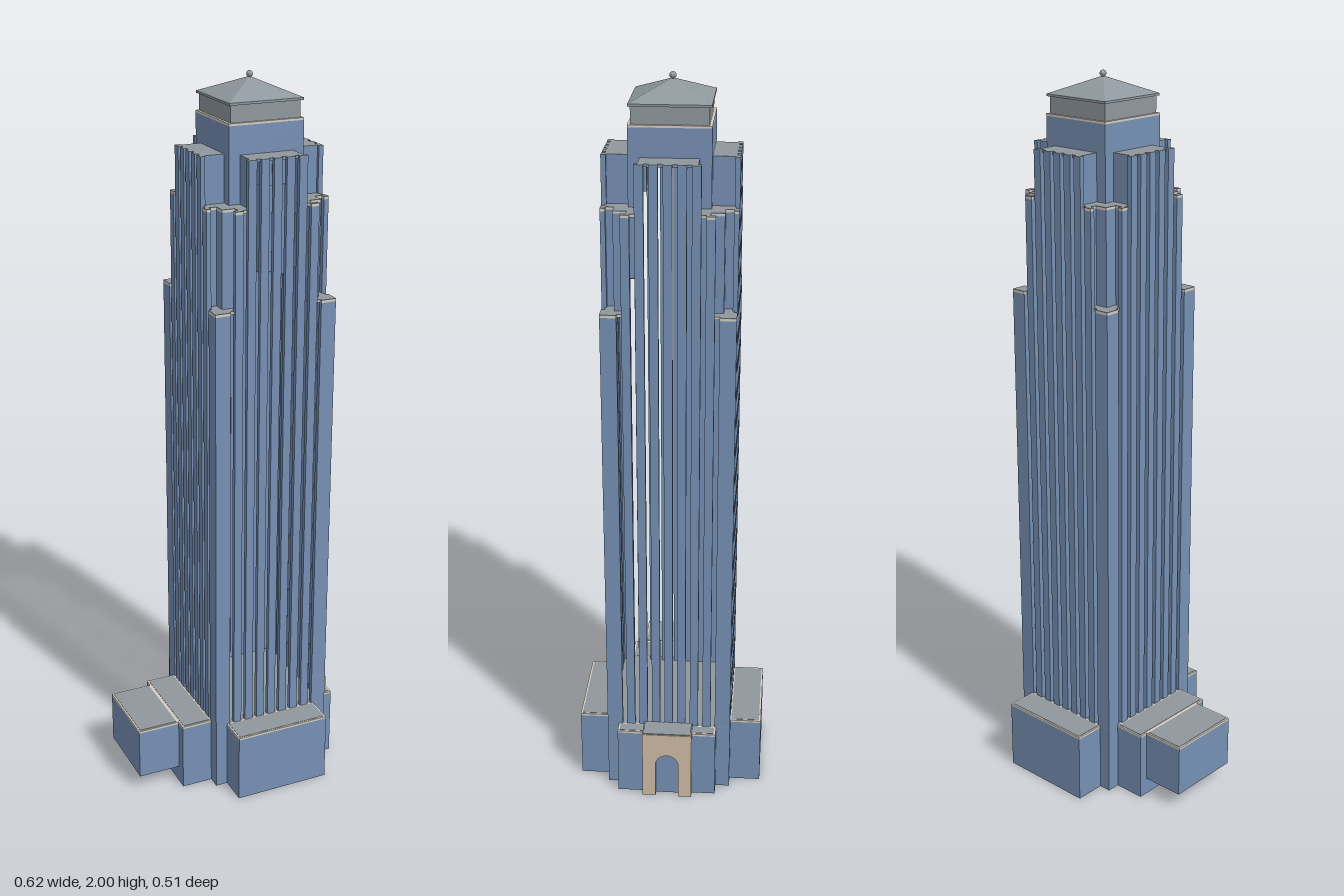
import * as THREE from 'three';

export function createModel() {
  const mat = (name, color) => {
    const m = new THREE.MeshStandardMaterial({ color });
    m.name = name;
    return m;
  };
  const blue = mat('blueWall', 0x7690b4);
  const grey = mat('greyRoof', 0x8f989e);
  const cream = mat('creamTrim', 0xd6cdc0);
  const tan = mat('tanStone', 0xcfbba6);

  const model = new THREE.Group();
  model.name = 'tower';

  // Box given by its minimum and maximum on each axis
  function box(parent, name, m, x0, x1, y0, y1, z0, z1) {
    const mesh = new THREE.Mesh(new THREE.BoxGeometry(x1 - x0, y1 - y0, z1 - z0), m);
    mesh.position.set((x0 + x1) / 2, (y0 + y1) / 2, (z0 + z1) / 2);
    mesh.name = name;
    parent.add(mesh);
    return mesh;
  }

  // Low wing: blue walls, cream parapet, grey inset roof
  function wing(name, x0, x1, y0, y1, z0, z1) {
    const g = new THREE.Group();
    g.name = name;
    const r = 0.005;
    box(g, 'walls', blue, x0, x1, y0, y1 - 0.006, z0, z1);
    box(g, 'parapet', cream, x0, x1, y1 - 0.006, y1, z0, z1);
    box(g, 'roof', grey, x0 + r, x1 - r, y1 - 0.001, y1 + 0.001, z0 + r, z1 - r);
    model.add(g);
  }
  wing('frontWing', -0.065, 0.21, 0, 0.2, 0.172, 0.256);
  wing('backWing', -0.065, 0.21, 0, 0.2, -0.258, -0.17);
  wing('rightWing', -0.187, -0.098, 0, 0.2, -0.135, 0.138);
  wing('rightAnnex', -0.308, -0.187, 0.05, 0.2, -0.11, 0.108);
  wing('leftWing', 0.246, 0.286, 0, 0.2, -0.133, 0.142);

  // Entrance portal with an arched recess, facing +x
  const portal = new THREE.Group();
  portal.name = 'entrancePortal';
  const face = new THREE.Shape();
  face.moveTo(-0.069, 0);
  face.lineTo(-0.032, 0);
  face.lineTo(-0.032, 0.105);
  face.absarc(0, 0.105, 0.032, Math.PI, 0, true);
  face.lineTo(0.032, 0);
  face.lineTo(0.069, 0);
  face.lineTo(0.069, 0.206);
  face.lineTo(-0.069, 0.206);
  const front = new THREE.Mesh(
    new THREE.ExtrudeGeometry(face, { depth: 0.024, bevelEnabled: false, curveSegments: 12 }), tan);
  front.name = 'archedFront';
  front.rotation.y = Math.PI / 2;
  front.position.set(0.283, 0, 0.002);
  portal.add(front);
  box(portal, 'door', blue, 0.284, 0.29, 0, 0.14, -0.033, 0.037);
  box(portal, 'portalBody', blue, 0.246, 0.283, 0, 0.206, -0.067, 0.071);
  box(portal, 'portalRoof', grey, 0.246, 0.305, 0.205, 0.209, -0.064, 0.068);
  model.add(portal);

  // Shaft, built around its own axis
  const shaft = new THREE.Group();
  shaft.name = 'shaft';
  shaft.position.set(0.074, 0, 0.001);
  model.add(shaft);
  const H = 0.173, A = 0.074, B = 0.104, C = 0.139, E = H - 0.009;
  const TOP = 1.81, MID = 1.685, LOW = 1.425, PITCH = 0.0354, RIB = 0.0229;
  box(shaft, 'base', blue, -H, H, 0, 0.198, -H, H);
  box(shaft, 'baseRoof', grey, -H, H, 0.198, 0.2, -H, H);

  // Terrace slab with a cream edge and a grey top
  function terrace(p, x0, x1, y, z0, z1, edged) {
    box(p, 'terraceEdge', edged ? cream : blue, x0, x1, y - 0.008, y - 0.002, z0, z1);
    box(p, 'terraceRoof', grey, x0, x1, y - 0.002, y, z0, z1);
  }

  // Rib standing in the face plane, capped
  function rib(p, x0, x1, top, trim) {
    box(p, 'rib', blue, x0, x1, 0.2, top - 0.008, H - 0.013, H);
    box(p, 'ribTrim', trim ? cream : blue, x0, x1, top - 0.008, top - 0.002, H - 0.013, H);
    box(p, 'ribCap', grey, x0, x1, top - 0.002, top, H - 0.013, H);
  }

  for (let k = 0; k < 4; k++) {
    const side = new THREE.Group();
    side.name = 'face' + (k + 1);
    side.rotation.y = k * Math.PI / 2;
    shaft.add(side);

    for (let i = -3; i <= 3; i++) {
      const tall = Math.abs(i) < 3;
      rib(side, i * PITCH - RIB / 2, i * PITCH + RIB / 2, tall ? TOP : MID, !tall);
    }
    terrace(side, -A, A, TOP, B, E, false);

    for (const s of [-1, 1]) {
      const span = (a, b) => (s > 0 ? [a, b] : [-b, -a]);
      // Corner pier
      rib(side, ...span(0.13, H), LOW, true);
      // Step walls beside the central and middle tiers
      box(side, 'upperStepWall', blue, ...span(A - 0.005, A), MID - 0.005, TOP - 0.001, B, H - 0.001);
      box(side, 'lowerStepWall', blue, ...span(B - 0.005, B), LOW - 0.005, MID - 0.007, C, H - 0.001);
      box(side, 'nookWall', blue, ...span(C - 0.005, C), LOW - 0.005, MID - 0.007, B, C);
      // Terraces
      terrace(side, ...span(A, B), MID, B, E, true);
      terrace(side, ...span(B, E), LOW, C, E, true);
    }
    terrace(side, B, C, MID, B, C, true);
    // Crown corner support
    box(side, 'crownCorner', blue, A, B, MID - 0.008, TOP, A, B);
  }

  // Crown, lantern and pyramid roof
  box(shaft, 'crown', blue, -B, B, TOP - 0.004, 1.884, -B, B);
  box(shaft, 'crownTrim', cream, -B, B, 1.884, 1.89, -B, B);
  box(shaft, 'lantern', grey, -0.097, 0.097, 1.89, 1.936, -0.097, 0.097);
  box(shaft, 'eaves', grey, -0.103, 0.103, 1.934, 1.94, -0.103, 0.103);
  const roof = new THREE.Mesh(new THREE.ConeGeometry(0.103 * Math.SQRT2, 0.045, 4, 1).toNonIndexed(), grey);
  roof.geometry.rotateY(Math.PI / 4);
  roof.geometry.computeVertexNormals();
  roof.position.y = 1.9625;
  roof.name = 'pyramidRoof';
  shaft.add(roof);
  const finial = new THREE.Mesh(new THREE.SphereGeometry(0.009, 8, 6), grey);
  finial.position.y = 1.991;
  finial.name = 'finial';
  shaft.add(finial);

  return model;
}
